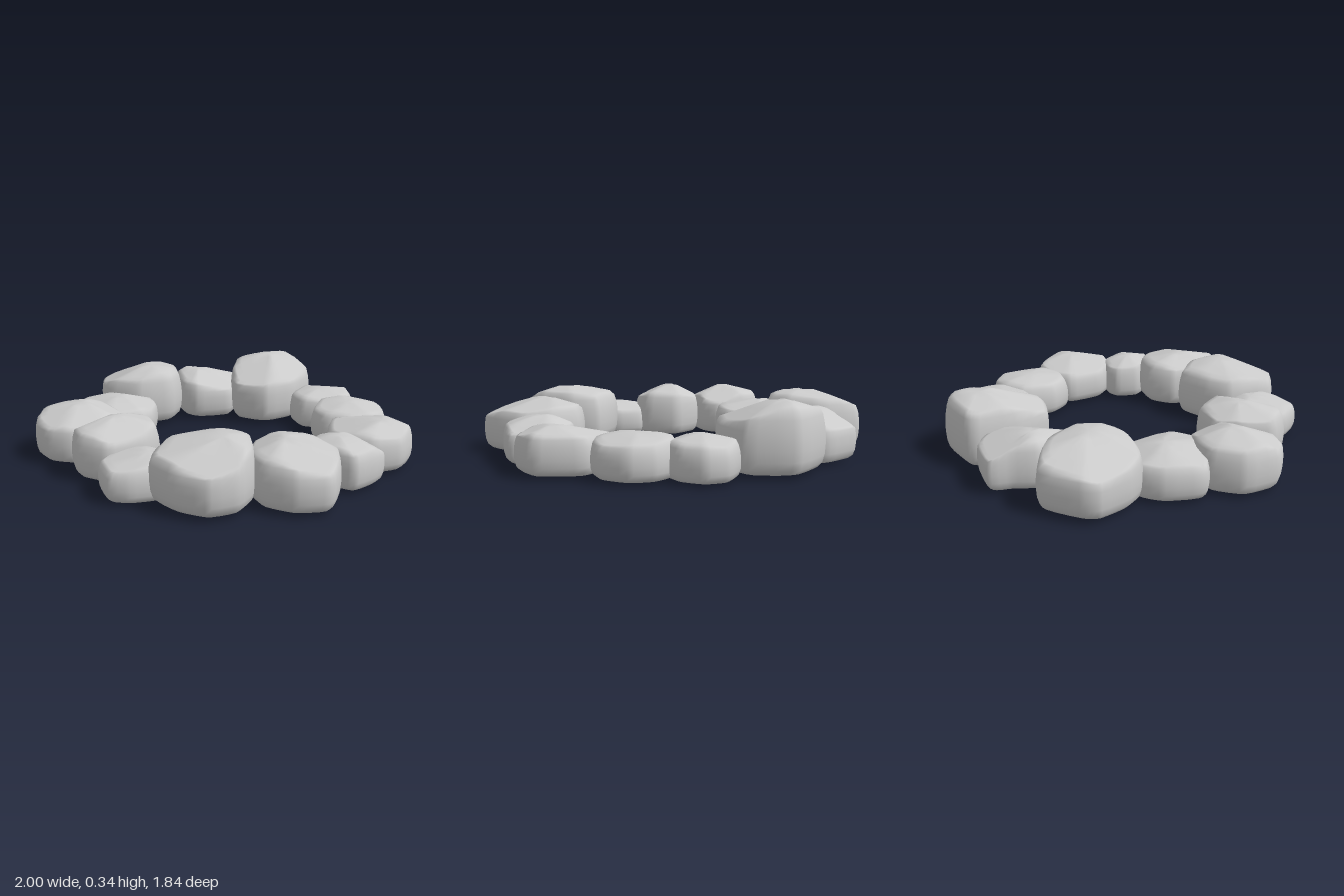
import * as THREE from 'three';

const SEGS = 32;
// Boulder side profile: [share of outline, share of height]; shallow convex base, steep sides, blunt top
const PROFILE = [[0, 0], [0.4, 0.006], [0.7, 0.025], [0.87, 0.06], [0.945, 0.12], [0.985, 0.23], [1, 0.38],
  [0.995, 0.52], [0.975, 0.65], [0.93, 0.79], [0.86, 0.9], [0.72, 0.97], [0.5, 1], [0.24, 1.01], [0, 1.01]];
const TOP = PROFILE.length - 1;

function seeded(seed) {
  let s = seed * 7919 + 17;
  return () => (s = (s * 16807) % 2147483647) / 2147483647;
}

// One boulder: height, crown position, and plan outline (x, z in hundredths)
function stone(name, seed, height, crown, outline, material) {
  const corners = [];
  for (let i = 0; i < outline.length; i += 2) {
    corners.push(new THREE.Vector3(outline[i] / 100, 0, outline[i + 1] / 100));
  }
  const rim = new THREE.CatmullRomCurve3(corners, true, 'catmullrom', 0.28).getPoints(SEGS).slice(0, SEGS);
  const box = new THREE.Box3().setFromPoints(rim);
  const mid = box.getCenter(new THREE.Vector3());
  const radius = (box.max.x - box.min.x + box.max.z - box.min.z) / 4;

  // Sloping planes that chip flat faces off the shoulders
  const rand = seeded(seed);
  rand();
  const first = rand() * 6.28;
  const cuts = [];
  for (let k = 0; k < 5; k++) {
    const a = first + k * 1.257 + (rand() - 0.5) * 0.7;
    cuts.push({ x: Math.cos(a), z: Math.sin(a), start: 0.1 + rand() * 0.25, slope: 0.18 + rand() * 0.2 });
  }

  const positions = [], index = [];
  for (const [share, level] of PROFILE) {
    const lean = Math.max(0, level - 0.5) * 2 * (1 - share);
    for (const p of rim) {
      const x = mid.x + (p.x - mid.x) * share + (crown[0] - mid.x) * lean;
      const z = mid.z + (p.z - mid.z) * share + (crown[1] - mid.z) * lean;
      let y = 0.01 + (height - 0.01) * level;
      if (level > 0.6) {
        for (const c of cuts) {
          const reach = ((x - crown[0]) * c.x + (z - crown[1]) * c.z) / radius;
          y = Math.min(y, height * (1 - Math.max(0, reach - c.start) * c.slope));
        }
      }
      positions.push(x, y, z);
    }
  }
  for (let r = 0; r < TOP; r++) {
    for (let i = 0; i < SEGS; i++) {
      const a = r * SEGS + i, b = r * SEGS + (i + 1) % SEGS;
      const c = a + SEGS, d = b + SEGS;
      if (r > 0) index.push(a, c, b);
      if (r < TOP - 1) index.push(b, c, d);
    }
  }
  const geometry = new THREE.BufferGeometry();
  geometry.setAttribute('position', new THREE.Float32BufferAttribute(positions, 3));
  geometry.setIndex(index);
  geometry.computeVertexNormals();
  // Both poles point straight down and up
  const normal = geometry.attributes.normal;
  for (let i = 0; i < SEGS; i++) {
    normal.setXYZ(i, 0, -1, 0);
    normal.setXYZ(TOP * SEGS + i, 0, 1, 0);
  }
  const mesh = new THREE.Mesh(geometry, material);
  mesh.name = name;
  return mesh;
}

export function createModel() {
  const group = new THREE.Group();
  group.name = 'stoneRing';
  const material = new THREE.MeshStandardMaterial({ color: 0xcccccc });
  let count = 0;
  const add = (height, crown, outline) => {
    count++;
    group.add(stone('stone' + count, count, height, crown, outline, material));
  };

  // Back stones
  add(0.215, [0.11, -0.7], [29, -70, 24, -60, 12, -53, -2, -60, -6, -78, 4, -91, 16, -92, 26, -83]);
  add(0.22, [0.39, -0.6], [60, -56, 53, -44, 40, -38, 27, -44, 19, -60, 24, -74, 35, -81, 48, -80, 59, -69]);
  // Left side stones
  add(0.24, [0.75, -0.42], [92, -36, 85, -22, 72, -17, 57, -21, 45, -37, 50, -50, 63, -60, 86, -54]);
  add(0.24, [0.74, -0.07], [94, -10, 92, 3, 76, 6, 62, 1, 58, -11, 63, -18, 78, -24, 92, -21]);
  add(0.29, [0.68, 0.25], [100, 30, 90, 43, 74, 48, 60, 42, 47, 24, 52, 8, 68, 1, 84, 4, 94, 16]);
  // Front stones
  add(0.32, [0.52, 0.5], [73, 60, 67, 74, 51, 80, 32, 78, 21, 57, 26, 42, 38, 27, 54, 31, 68, 45]);
  add(0.205, [0.19, 0.67], [36, 73, 29, 86, 20, 92, 4, 85, 0, 74, 7, 52, 22, 51, 34, 60]);
  add(0.295, [-0.13, 0.6], [8, 60, 3, 78, -13, 84, -26, 78, -29, 62, -26, 48, -11, 39, 5, 47]);
  add(0.285, [-0.45, 0.57], [-27, 60, -30, 75, -42, 82, -57, 79, -67, 64, -64, 47, -53, 39, -36, 36, -28, 44]);
  // Right side stones
  add(0.235, [-0.55, 0.25], [-31, 29, -37, 42, -52, 47, -72, 46, -78, 27, -74, 13, -57, 4, -44, 6, -33, 19]);
  add(0.325, [-0.67, -0.09], [-47, -7, -56, 10, -74, 17, -87, 12, -99, 1, -100, -8, -92, -29, -70, -31, -53, -21]);
  add(0.27, [-0.58, -0.39], [-31, -40, -41, -23, -52, -21, -70, -31, -73, -45, -76, -56, -57, -66, -44, -62]);
  // Tallest stone at the back
  add(0.355, [-0.3, -0.71], [-1, -60, -6, -43, -24, -37, -40, -49, -51, -66, -50, -74, -30, -90, -7, -83, -3, -74]);
  return group;
}
